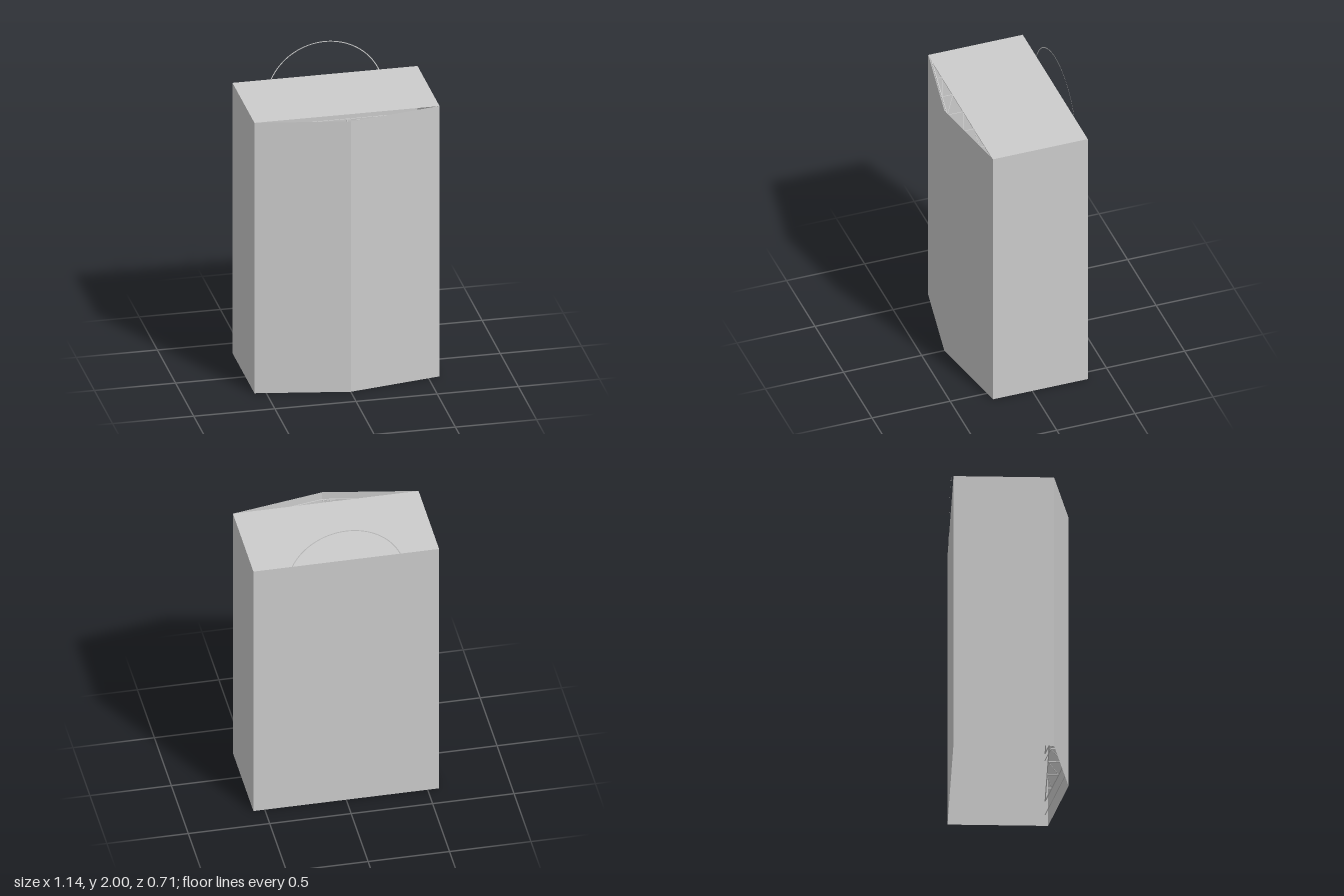
import * as THREE from 'three';

const W = 0.57, H = 1.78, BACK = -0.355, SHOULDER = 0.25, APEX = 0.355;
const SLOPE = (APEX - SHOULDER) / W;

export function createModel() {
  const model = new THREE.Group();
  model.name = 'openShell';
  const grey = new THREE.MeshStandardMaterial({ color: 0xcccccc, side: THREE.DoubleSide });
  grey.name = 'plain grey';

  const add = (name, geometry, parent = model) => {
    const mesh = new THREE.Mesh(geometry, grey);
    mesh.name = name;
    parent.add(mesh);
    return mesh;
  };

  // Flat sheet from four corners, anticlockwise seen from outside
  const sheet = (name, a, b, c, d) => {
    const g = new THREE.BufferGeometry();
    g.setAttribute('position', new THREE.Float32BufferAttribute([...a, ...b, ...c, ...d], 3));
    g.setIndex([0, 1, 2, 0, 2, 3]);
    g.computeVertexNormals();
    add(name, g);
  };

  // Upright wall between two plan points [x, z]
  const wall = (name, [x0, z0], [x1, z1]) =>
    sheet(name, [x0, 0, z0], [x1, 0, z1], [x1, H, z1], [x0, H, z0]);

  // Thin square bar between two points, in its parent's own space
  const Z_AXIS = new THREE.Vector3(0, 0, 1);
  const bar = (name, a, b, t, parent = model) => {
    const from = new THREE.Vector3(...a), to = new THREE.Vector3(...b);
    const mesh = add(name, new THREE.BoxGeometry(t, t, from.distanceTo(to)), parent);
    mesh.position.lerpVectors(from, to, 0.5);
    mesh.quaternion.setFromUnitVectors(Z_AXIS, to.sub(from).normalize());
  };

  // Outer walls, open underneath, with a pointed front
  wall('frontRightPanel', [-W, SHOULDER], [0, APEX]);
  wall('frontLeftPanel', [0, APEX], [W, SHOULDER]);
  wall('leftWall', [W, SHOULDER], [W, BACK]);
  wall('backWall', [W, BACK], [-W, BACK]);
  wall('rightWall', [-W, BACK], [-W, SHOULDER]);

  // Roof stops short of the pointed front
  sheet('roof', [-W, H, SHOULDER], [W, H, SHOULDER], [W, H, BACK], [-W, H, BACK]);

  // Flat hanging loop rising from the back edge
  const R = 0.365, CY = 2 - R;
  const start = Math.asin((H - CY) / R);
  const loop = add('hangingLoop',
    new THREE.RingGeometry(R - 0.006, R, 64, 1, start, Math.PI - 2 * start));
  loop.position.set(0, CY, BACK);

  // Trusses bracing the front panels at regular heights
  const chordZ = 0.232, step = 0.1875, end = 3 * step;
  const frontZ = x => 0.335 - Math.abs(x) * SLOPE;
  for (let level = 0; level < 6; level++) {
    const truss = new THREE.Group();
    truss.name = 'truss';
    truss.position.y = 0.16 + level * 0.316;
    model.add(truss);
    bar('backChord', [-end, 0, chordZ], [end, 0, chordZ], 0.006, truss);
    for (const s of [-1, 1]) {
      bar('frontChord', [s * end, 0, frontZ(end)], [0, 0, frontZ(0)], 0.006, truss);
    }
    for (let i = -2; i <= 2; i++) {
      const x = i * step;
      bar('strut', [x, 0, chordZ], [x, 0, frontZ(x)], 0.005, truss);
      bar('diagonal', [x - step, 0, chordZ], [x, 0, frontZ(x)], 0.003, truss);
    }
  }

  // Slim battens behind the front panels, in line with the truss chords
  for (const y of [0.07, 0.43]) {
    for (const s of [-1, 1]) {
      bar('batten', [s * end, y, frontZ(end)], [0, y, frontZ(0)], 0.004);
    }
  }

  // Small catch inside the front panel
  const catchBlock = add('catch', new THREE.BoxGeometry(0.08, 0.025, 0.012));
  catchBlock.position.set(-0.31, 0.39, 0.27);
  catchBlock.rotation.y = -Math.atan(SLOPE);

  // Light frame on the inside of the right wall
  const fx = -W + 0.006;
  bar('frameLowerRail', [fx, 0.15, 0.16], [fx, 0.15, -0.13], 0.005);
  bar('frameUpperRail', [fx, 0.23, 0.16], [fx, 0.23, -0.05], 0.005);
  bar('framePost', [fx, 0.15, 0.01], [fx, 0.28, 0.01], 0.005);
  bar('framePost', [fx, 0.15, -0.13], [fx, 0.2, -0.13], 0.005);

  return model;
}
